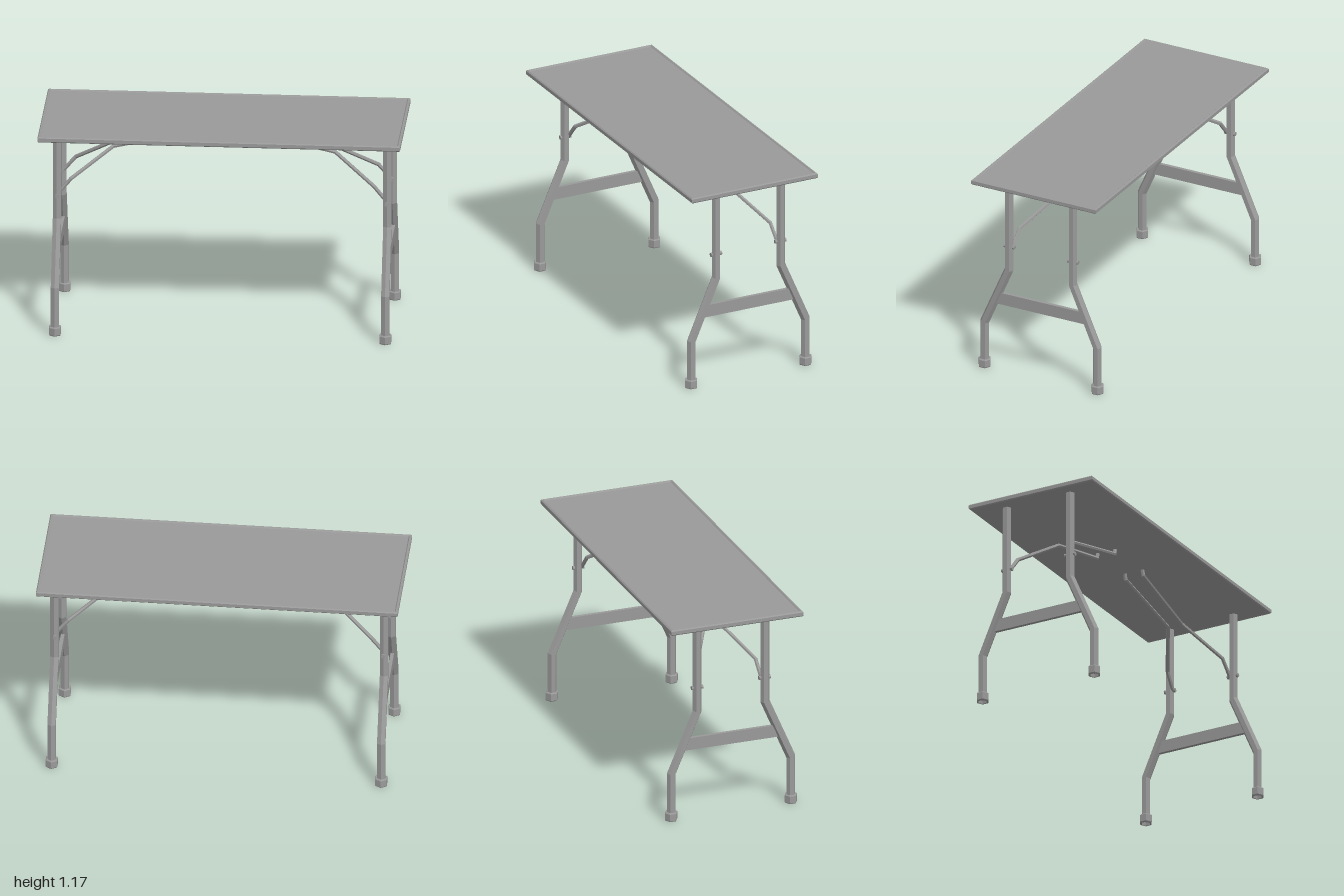
import * as THREE from 'three';

const material = new THREE.MeshStandardMaterial({ color: 0x999999, flatShading: true });
const V = (x, y, z) => new THREE.Vector3(x, y, z);

function part(name, geometry, parent) {
  const mesh = new THREE.Mesh(geometry, material);
  mesh.name = name;
  parent.add(mesh);
  return mesh;
}

// Straight-sided tube along a bent path, with mitred joints and closed ends
function bentTube(points, radius, sides) {
  const dirs = points.slice(1).map((p, i) => p.clone().sub(points[i]).normalize());
  const u = V(0, 0, 1).addScaledVector(dirs[0], -dirs[0].z).normalize();
  const v = dirs[0].clone().cross(u);
  let ring = [];
  for (let i = 0; i < sides; i++) {
    const a = (i / sides) * Math.PI * 2;
    ring.push(points[0].clone().addScaledVector(u, radius * Math.cos(a)).addScaledVector(v, radius * Math.sin(a)));
  }
  const pos = [];
  const tri = (a, b, c) => [a, b, c].forEach((p) => pos.push(p.x, p.y, p.z));
  for (let i = 0; i < sides; i++) tri(points[0], ring[(i + 1) % sides], ring[i]);
  dirs.forEach((d, s) => {
    const end = points[s + 1];
    const normal = d.clone().add(dirs[s + 1] || d).normalize();
    const next = ring.map((p) =>
      p.clone().addScaledVector(d, end.clone().sub(p).dot(normal) / d.dot(normal)));
    for (let i = 0; i < sides; i++) {
      const j = (i + 1) % sides;
      tri(ring[i], ring[j], next[j]);
      tri(ring[i], next[j], next[i]);
    }
    ring = next;
  });
  for (let i = 0; i < sides; i++) tri(points[points.length - 1], ring[i], ring[(i + 1) % sides]);
  const g = new THREE.BufferGeometry();
  g.setAttribute('position', new THREE.Float32BufferAttribute(pos, 3));
  g.computeVertexNormals();
  return g;
}

const rectangle = (x, z) => [[x, -z], [x, z], [-x, z], [-x, -z]].map(([a, b]) => new THREE.Vector2(a, b));

// Chamfered frame around the edge of the top
function rimGeometry() {
  const b = 0.006, width = 0.018;
  const shape = new THREE.Shape(rectangle(1 - b, 0.39 - b));
  shape.holes.push(new THREE.Path(rectangle(1 - width + b, 0.39 - width + b)));
  const g = new THREE.ExtrudeGeometry(shape, {
    depth: 0.031 - 2 * b, bevelEnabled: true, bevelSize: b, bevelThickness: b, bevelSegments: 1,
  });
  return g.rotateX(-Math.PI / 2).translate(0, 1.137 + b, 0);
}

// Crossbar panel whose ends follow the slope of the legs
function crossbarGeometry() {
  const shape = new THREE.Shape([
    [-0.285, 0.405], [0.285, 0.405], [0.256, 0.475], [-0.256, 0.475],
  ].map(([z, y]) => new THREE.Vector2(z, y)));
  const g = new THREE.ExtrudeGeometry(shape, { depth: 0.02, bevelEnabled: false });
  return g.translate(0, 0, -0.01).rotateY(Math.PI / 2);
}

// Hexagonal foot cap with chamfered edges and a hollow underside
function footGeometry() {
  const profile = [
    [0, 0.02], [0.024, 0.02], [0.026, 0], [0.033, 0], [0.037, 0.005],
    [0.037, 0.045], [0.033, 0.05], [0.02, 0.05],
  ];
  return new THREE.LatheGeometry(profile.map(([r, y]) => new THREE.Vector2(r, y)), 6);
}

export function createModel() {
  const group = new THREE.Group();
  group.name = 'foldingTable';

  // Tabletop panel set slightly below its rim
  part('tabletopRim', rimGeometry(), group);
  part('tabletopPanel', new THREE.BoxGeometry(1.98, 0.024, 0.76).translate(0, 1.15, 0), group);

  for (const sx of [-1, 1]) {
    const end = new THREE.Group();
    end.name = sx > 0 ? 'leftLegFrame' : 'rightLegFrame';
    end.position.set(0.005, 0, -0.002);
    group.add(end);
    const lx = sx * 0.911;
    part('crossbar', crossbarGeometry(), end).position.x = lx;

    for (const sz of [-1, 1]) {
      // Bent hexagonal leg
      const leg = [[0.03, 0.352], [0.275, 0.352], [0.627, 0.2], [1.145, 0.2]];
      part('leg', bentTube(leg.map(([y, z]) => V(lx, y, sz * z)), 0.026, 6), end);

      part('foot', footGeometry(), end).position.set(lx, 0, sz * 0.353);

      // Folding brace from the leg to the underside of the top
      const brace = [
        [0.908, 0.765, 0.18], [0.835, 0.852, 0.174], [0.612, 1.0, 0.044],
        [0.16, 1.108, 0.056], [0.152, 1.142, 0.054],
      ];
      part('brace', bentTube(brace.map(([x, y, z]) => V(sx * x, y, sz * z)), 0.011, 6), end);

      // Pivot bolt through the leg, with a head at each end
      const bolt = (z0, z1, r) => {
        const g = new THREE.CylinderGeometry(r, r, z1 - z0, 8).rotateX(Math.PI / 2);
        return g.translate(sx * 0.908, 0.767, sz * (z0 + z1) / 2);
      };
      part('boltShaft', bolt(0.17, 0.23, 0.007), end);
      part('boltInnerHead', bolt(0.165, 0.178, 0.012), end);
      part('boltOuterHead', bolt(0.222, 0.232, 0.012), end);
    }
  }
  return group;
}
